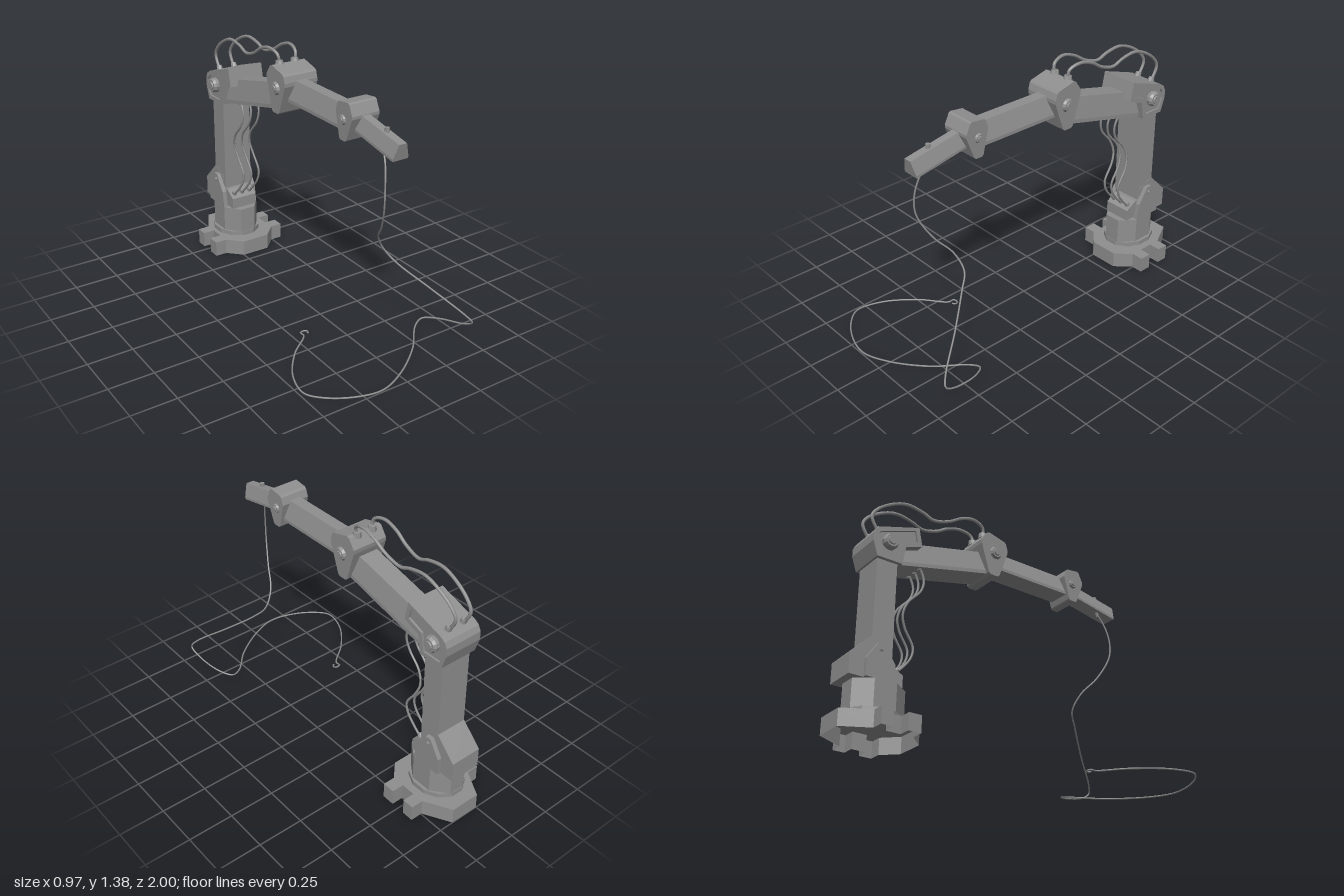
import * as THREE from 'three';

const C = 0.075; // x of the arm's centre plane
const flat = new THREE.MeshStandardMaterial({ color: 0x8f8f8f, flatShading: true });
const sheet = new THREE.MeshStandardMaterial({ color: 0x8f8f8f, flatShading: true, side: THREE.DoubleSide });
const smooth = new THREE.MeshStandardMaterial({ color: 0x8f8f8f });
const V = (x, y, z) => new THREE.Vector3(x, y, z);

export function createModel() {
  const model = new THREE.Group();
  model.name = 'robotArm';

  const add = (name, geometry, material = flat) => {
    const mesh = new THREE.Mesh(geometry, material);
    mesh.name = name;
    model.add(mesh);
    return mesh;
  };

  // Side profile of [z, y] points, extruded across x about the centre plane
  const profile = (name, pts, width, x = C, hole) => {
    const toV2 = ([z, y]) => new THREE.Vector2(-z, y);
    const shape = new THREE.Shape(pts.map(toV2));
    if (hole) shape.holes.push(new THREE.Path(hole.map(toV2)));
    const g = new THREE.ExtrudeGeometry(shape, { depth: width, bevelEnabled: false });
    g.translate(0, 0, -width / 2).rotateY(Math.PI / 2).translate(x, 0, 0);
    return add(name, g);
  };

  // Beam with a trapezoid section, from [z, y] to [z, y]
  const beam = (name, top, bottom, height, [z0, y0], [z1, y1]) => {
    const h = height / 2;
    const lip = -h + height * 0.15;
    const section = new THREE.Shape([
      [-bottom / 2, -h], [bottom / 2, -h], [bottom / 2, lip],
      [top / 2, h], [-top / 2, h], [-bottom / 2, lip],
    ].map(([x, y]) => new THREE.Vector2(x, y)));
    const g = new THREE.ExtrudeGeometry(section,
      { depth: Math.hypot(z1 - z0, y1 - y0), bevelEnabled: false });
    g.rotateX(-Math.atan2(y1 - y0, z1 - z0)).translate(C, y0, z0);
    return add(name, g);
  };

  // Pivot with a washer, tapered cap and small stud on both sides
  const pivot = (name, r, halfWidth, z, y) => {
    const w = halfWidth;
    const pts = [[0, -w], [r * 0.5, -w], [r * 0.55, -w + 0.006], [r * 0.8, -w + 0.006], [r, -w + 0.02],
      [r, w - 0.02], [r * 0.8, w - 0.006], [r * 0.55, w - 0.006], [r * 0.5, w], [0, w]];
    const g = new THREE.LatheGeometry(pts.map(([a, b]) => new THREE.Vector2(a, b)), 12);
    add(name, g.rotateZ(Math.PI / 2).translate(C, y, z));
  };

  const cable = (name, pts, r, segments) =>
    add(name, new THREE.TubeGeometry(
      new THREE.CatmullRomCurve3(pts.map((p) => V(...p))), segments, r, 6), smooth);

  // Short collar where a cable enters a housing
  const plug = (x, y, z, dir, r = 0.016) => {
    const m = add('cablePlug', new THREE.CylinderGeometry(r * 0.75, r, 0.03, 8));
    m.position.set(x, y, z);
    m.quaternion.setFromUnitVectors(V(0, 1, 0), dir.normalize());
  };

  // Base, open below, with two notched lugs on each side (half outline, mirrored)
  const half = [[0.083, -1], [0.162, -0.855], [0.23, -0.855], [0.23, -0.79], [0.162, -0.79],
    [0.162, -0.71], [0.23, -0.71], [0.23, -0.64], [0.162, -0.64], [0.083, -0.56]];
  const outline = [...half, ...half.map(([x, z]) => [-x, z]).reverse()].map(([x, z]) => [x + C + 0.009, z]);
  const lid = new THREE.ShapeGeometry(new THREE.Shape(outline.map(([x, z]) => new THREE.Vector2(x, -z))));
  add('baseTop', lid.rotateX(-Math.PI / 2).translate(0, 0.09, 0), sheet);
  const wallPoints = [];
  outline.forEach(([x0, z0], i) => {
    const [x1, z1] = outline[(i + 1) % outline.length];
    const [a, b, c, d] = [V(x0, 0, z0), V(x1, 0, z1), V(x1, 0.09, z1), V(x0, 0.09, z0)];
    wallPoints.push(a, c, b, a, d, c);
  });
  const wall = new THREE.BufferGeometry().setFromPoints(wallPoints);
  wall.computeVertexNormals();
  add('baseWall', wall, sheet);

  // Turntable collar and octagonal turret
  const drum = (name, sides, halfX, halfZ, y0, y1) => {
    const k = 1 / Math.cos(Math.PI / sides);
    const g = new THREE.CylinderGeometry(k, k, y1 - y0, sides);
    g.rotateY(Math.PI / sides).scale(halfX, 1, halfZ).translate(C, (y0 + y1) / 2, -0.78);
    add(name, g);
  };
  drum('turntable', 12, 0.13, 0.15, 0.092, 0.118);
  drum('turret', 8, 0.113, 0.147, 0.115, 0.266);

  // Shoulder: rear block, front connector block, side gussets
  profile('shoulderBlock', [[-0.76, 0.265], [-0.76, 0.45], [-0.84, 0.49], [-0.857, 0.49],
    [-0.97, 0.375], [-0.97, 0.265]], 0.178);
  profile('connectorBlock', [[-0.67, 0.265], [-0.67, 0.33], [-0.735, 0.37], [-0.78, 0.37],
    [-0.78, 0.265]], 0.158);
  for (const side of [-1, 1]) {
    profile('shoulderGusset', [[-0.72, 0.265], [-0.735, 0.36], [-0.797, 0.455], [-0.83, 0.455],
      [-0.89, 0.36], [-0.89, 0.265]], 0.025, C + side * 0.1);
  }
  pivot('gussetBolt', 0.018, 0.12, -0.812, 0.42);

  // Upright column
  add('column', new THREE.BoxGeometry(0.175, 0.58, 0.117)).position.set(C, 0.68, -0.798);

  // Elbow housing with a raised rim around each cheek
  const elbow = [[-0.632, 1.165], [-0.61, 1.06], [-0.705, 1.025], [-0.723, 0.92], [-0.868, 0.92],
    [-0.895, 1.0], [-0.895, 1.045], [-0.88, 1.075], [-0.855, 1.092]];
  const inner = [[-0.652, 1.138], [-0.637, 1.078], [-0.728, 1.043], [-0.746, 0.945], [-0.853, 0.945],
    [-0.873, 1.004], [-0.873, 1.038], [-0.862, 1.058], [-0.845, 1.068]];
  profile('elbowHousing', elbow, 0.195);
  for (const side of [-1, 1]) profile('elbowRim', elbow, 0.014, C + side * 0.102, inner);
  pivot('elbowPivot', 0.043, 0.136, -0.798, 1.022);

  // Arm segments
  beam('lowerArm', 0.11, 0.157, 0.138, [-0.76, 0.99], [-0.13, 1.143]);
  beam('upperArm', 0.065, 0.126, 0.118, [-0.15, 1.182], [0.44, 1.182]);
  beam('toolHead', 0.046, 0.092, 0.087, [0.44, 1.19], [0.785, 1.125]);

  // Middle joint
  profile('middleJoint', [[-0.075, 1.28], [-0.18, 1.307], [-0.197, 1.3], [-0.232, 1.248],
    [-0.23, 1.225], [-0.18, 1.06], [-0.168, 1.05], [-0.122, 1.05], [-0.11, 1.06],
    [-0.056, 1.215], [-0.056, 1.235], [-0.066, 1.27]], 0.206);
  pivot('middlePivot', 0.037, 0.124, -0.138, 1.19);

  // Wrist joint
  profile('wristJoint', [[0.47, 1.287], [0.395, 1.278], [0.384, 1.268], [0.37, 1.227], [0.403, 1.09],
    [0.412, 1.082], [0.45, 1.082], [0.46, 1.09], [0.506, 1.21], [0.506, 1.225], [0.48, 1.28]], 0.164);
  pivot('wristPivot', 0.027, 0.099, 0.43, 1.19);

  // Tool details: top knob and cable outlet
  add('toolKnob', new THREE.CylinderGeometry(0.012, 0.012, 0.04, 8)).position.set(C, 1.192, 0.672);
  plug(0.06, 1.095, 0.675, V(0, -1, 0.2), 0.012);

  // Long loose cable from the tool to the floor, ending in a small hook
  cable('looseCable', [
    [0.06, 1.1, 0.67], [0.045, 1.04, 0.705], [0.027, 0.925, 0.734], [0.03, 0.82, 0.73],
    [0.07, 0.685, 0.665], [0.12, 0.58, 0.58], [0.175, 0.488, 0.56], [0.22, 0.418, 0.615],
    [0.333, 0.3, 0.755], [0.447, 0.177, 0.91], [0.475, 0.14, 0.932], [0.472, 0.105, 0.88],
    [0.437, 0.066, 0.72], [0.384, 0.048, 0.645], [0.32, 0.036, 0.67], [0.188, 0.022, 0.81],
    [0, 0.01, 0.94], [-0.156, 0.006, 0.994], [-0.315, 0.006, 0.955], [-0.436, 0.006, 0.873],
    [-0.48, 0.006, 0.804], [-0.447, 0.006, 0.66], [-0.33, 0.006, 0.5], [-0.198, 0.006, 0.385],
    [-0.2, 0.006, 0.355], [-0.172, 0.006, 0.349], [-0.157, 0.006, 0.367], [-0.175, 0.006, 0.38],
  ], 0.0048, 220);

  // Pair of cables over the top, from middle joint to elbow ([z, y, sideways bulge])
  const over = [[-0.185, 1.295, 0], [-0.195, 1.352, 0.008], [-0.26, 1.374, 0.018], [-0.343, 1.352, 0.019],
    [-0.423, 1.305, 0.015], [-0.515, 1.28, 0.01], [-0.584, 1.303, 0.009], [-0.68, 1.315, 0.008],
    [-0.77, 1.284, 0.006], [-0.852, 1.225, 0.002], [-0.88, 1.174, 0], [-0.835, 1.085, 0]];
  for (const side of [-1, 1]) {
    cable('topCable', over.map(([z, y, b]) => [C + side * (0.048 + b), y, z]), 0.009, 80);
    plug(C + side * 0.048, 1.306, -0.19, V(0, 1, -0.15), 0.026);
    plug(C + side * 0.048, 1.105, -0.84, V(0, 1, -0.4), 0.02);
  }

  // Three cables down the front, from lower arm to connector block
  const down = [[-0.595, 0.99, 0], [-0.562, 0.9, -0.006], [-0.58, 0.83, -0.012], [-0.654, 0.74, -0.012],
    [-0.675, 0.67, -0.004], [-0.654, 0.605, 0.006], [-0.6, 0.514, 0.01], [-0.61, 0.455, 0.008],
    [-0.665, 0.38, 0.002], [-0.71, 0.34, 0]];
  for (const i of [-1, 0, 1]) {
    const x = C + i * 0.052;
    cable('frontCable', down.map(([z, y, b]) => [x + b, y, z]), 0.0065, 70);
    plug(x, 0.355, -0.698, V(0, 1, 0.65));
    plug(x, 0.968, -0.59, V(0, -1, 0.25));
  }

  return model;
}
